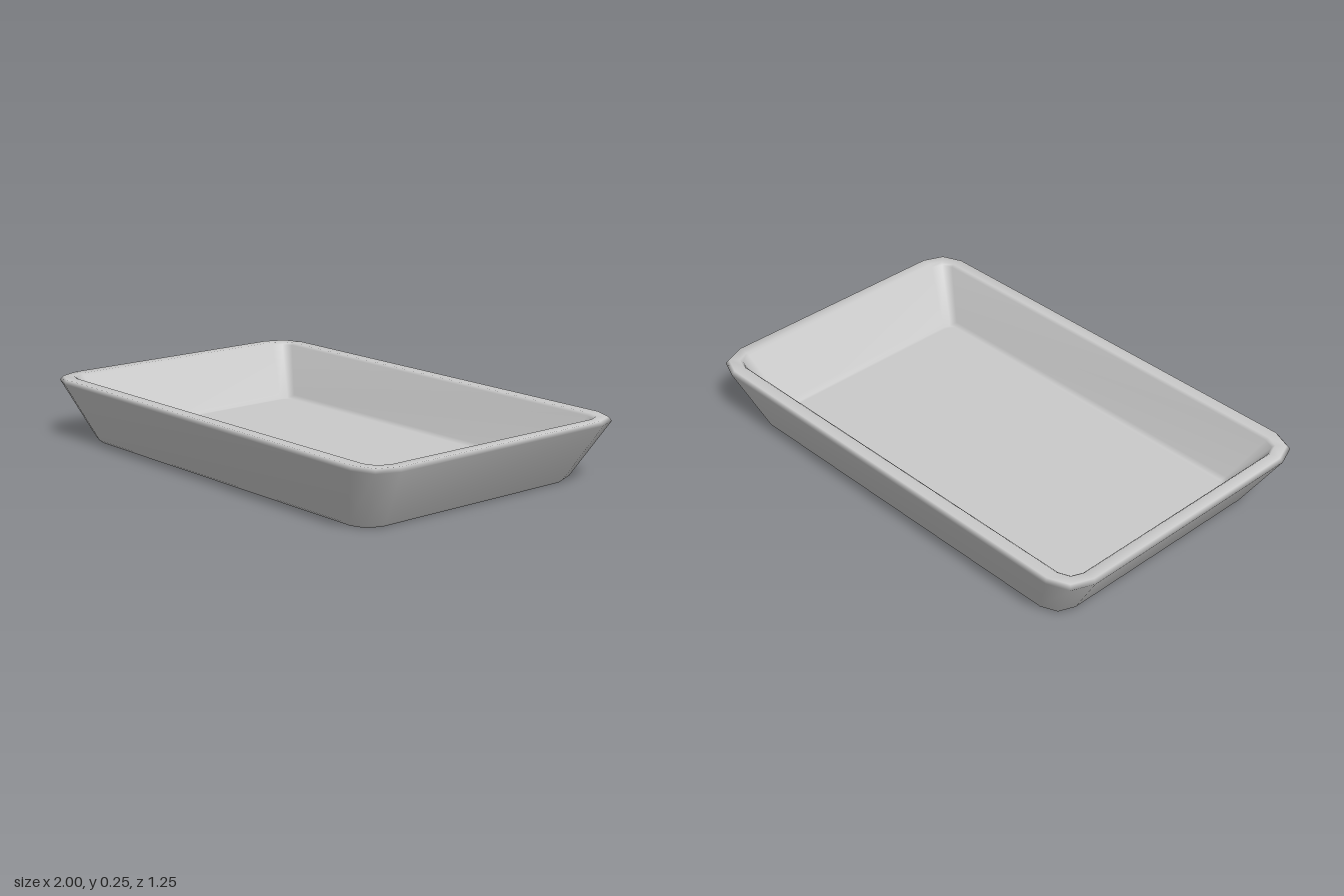
import * as THREE from 'three';

// One ring of the tray: a rectangle with two-step rounded corners
function ring(y, hx, hz, cut) {
  const corner = [
    [hx, hz - cut],
    [hx - cut * 0.29, hz - cut * 0.29],
    [hx - cut, hz],
  ];
  const points = [];
  for (const [sx, sz] of [[1, 1], [-1, 1], [-1, -1], [1, -1]]) {
    const ordered = sx * sz > 0 ? corner : [...corner].reverse();
    for (const [x, z] of ordered) points.push([x * sx, y, z * sz]);
  }
  return points;
}

// Skin consecutive rings; shared vertices give smooth, area-weighted normals
function skin(rings) {
  const n = rings[0].length;
  const index = [];
  for (let i = 0; i < rings.length - 1; i++) {
    for (let j = 0; j < n; j++) {
      const a = i * n + j;
      const c = i * n + ((j + 1) % n);
      index.push(a, a + n, c, c, a + n, c + n);
    }
  }
  const geometry = new THREE.BufferGeometry();
  geometry.setAttribute('position', new THREE.Float32BufferAttribute(rings.flat(2), 3));
  geometry.setIndex(index);
  geometry.computeVertexNormals();
  return geometry;
}

export function createModel() {
  const group = new THREE.Group();
  group.name = 'tray';
  // The shell is open underneath, so both sides of it show
  const grey = new THREE.MeshStandardMaterial({ color: 0xcacaca, side: THREE.DoubleSide });
  grey.name = 'light grey';

  // Height, half width, half depth, corner cut
  const profile = [
    [0, 0.842, 0.522, 0.08],     // open bottom edge
    [0.012, 0.857, 0.536, 0.09],
    [0.238, 1, 0.624, 0.122],    // outer wall top
    [0.254, 0.988, 0.612, 0.115],
    [0.254, 0.945, 0.567, 0.07], // rim
    [0.245, 0.934, 0.556, 0.062],
    [0.052, 0.805, 0.477, 0.045], // inner wall foot
    [0.038, 0.785, 0.46, 0.035], // floor edge
    [0.038, 0.772, 0.447, 0.03],
    [0.038, 0, 0, 0],            // floor centre
  ];
  const tray = new THREE.Mesh(skin(profile.map((p) => ring(...p))), grey);
  tray.name = 'trayShell';
  group.add(tray);
  return group;
}
